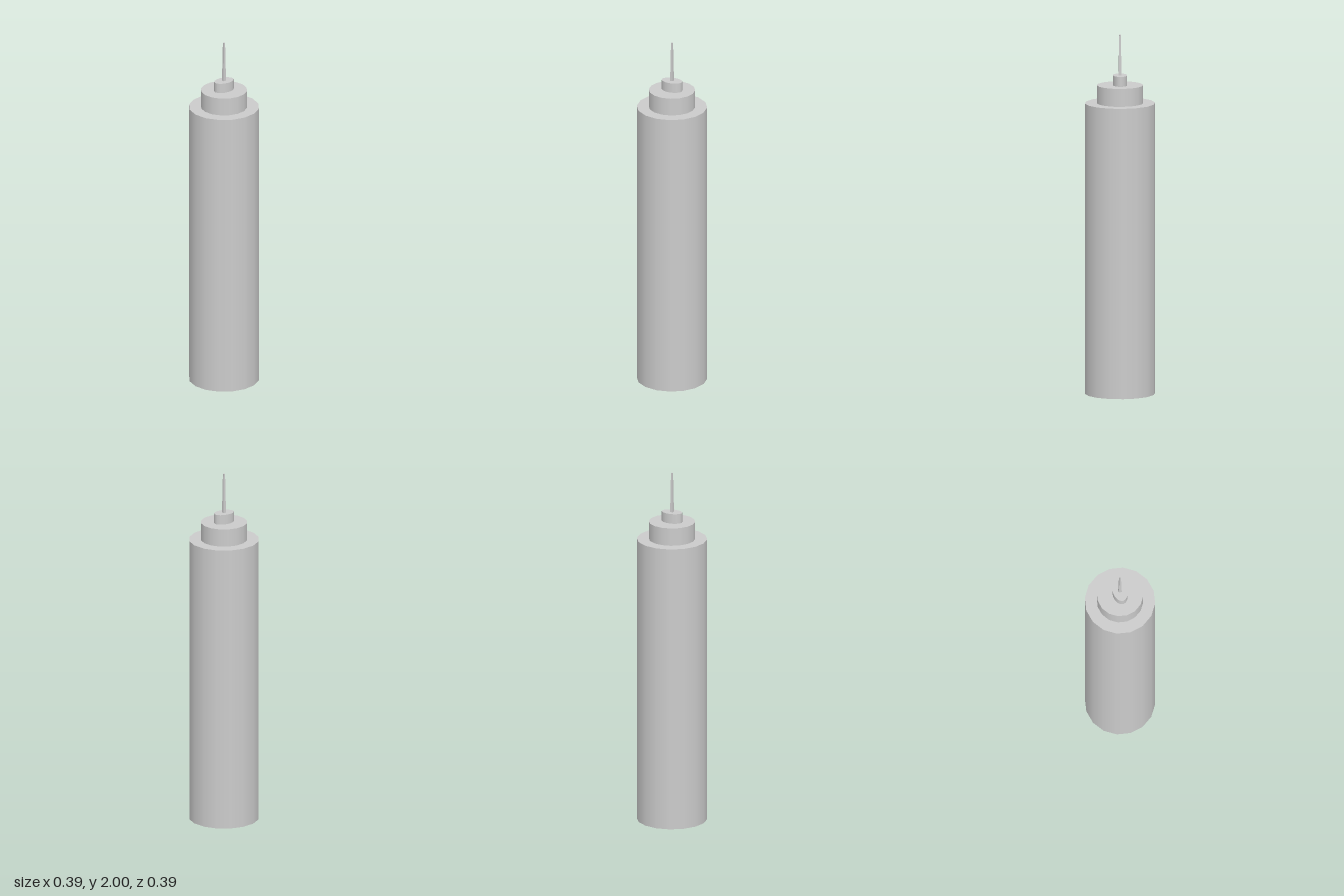
import * as THREE from 'three';

export function createModel() {
  const group = new THREE.Group();
  const material = new THREE.MeshStandardMaterial({ color: 0xcccccc, side: THREE.DoubleSide });

  const add = (name, geometry, y, mat = material) => {
    const mesh = new THREE.Mesh(geometry, mat);
    mesh.name = name;
    mesh.position.y = y;
    group.add(mesh);
    return mesh;
  };

  // Sixteen-sided tiers, open underneath: wall plus roof disc
  const tiers = [
    { name: 'towerShaft', rx: 0.194, rz: 0.194, y0: 0, y1: 1.62 },
    { name: 'upperTier', rx: 0.128, rz: 0.128, y0: 1.62, y1: 1.72 },
    { name: 'antennaBase', rx: 0.06, rz: 0.04, y0: 1.72, y1: 1.775 },
  ];
  for (const { name, rx, rz, y0, y1 } of tiers) {
    const wall = new THREE.CylinderGeometry(1, 1, y1 - y0, 16, 1, true).scale(rx, 1, rz);
    add(name + 'Wall', wall, (y0 + y1) / 2);
    const roof = new THREE.CircleGeometry(1, 16).rotateX(-Math.PI / 2).scale(rx, 1, rz);
    add(name + 'Roof', roof, y1);
  }

  // Square tapering antenna
  const flat = material.clone();
  flat.flatShading = true;
  const height = 2 - 1.775;
  const mast = new THREE.CylinderGeometry(0.0045 * Math.SQRT2, 0.008 * Math.SQRT2, height, 4);
  add('antenna', mast.rotateY(Math.PI / 4), 1.775 + height / 2, flat);

  return group;
}
